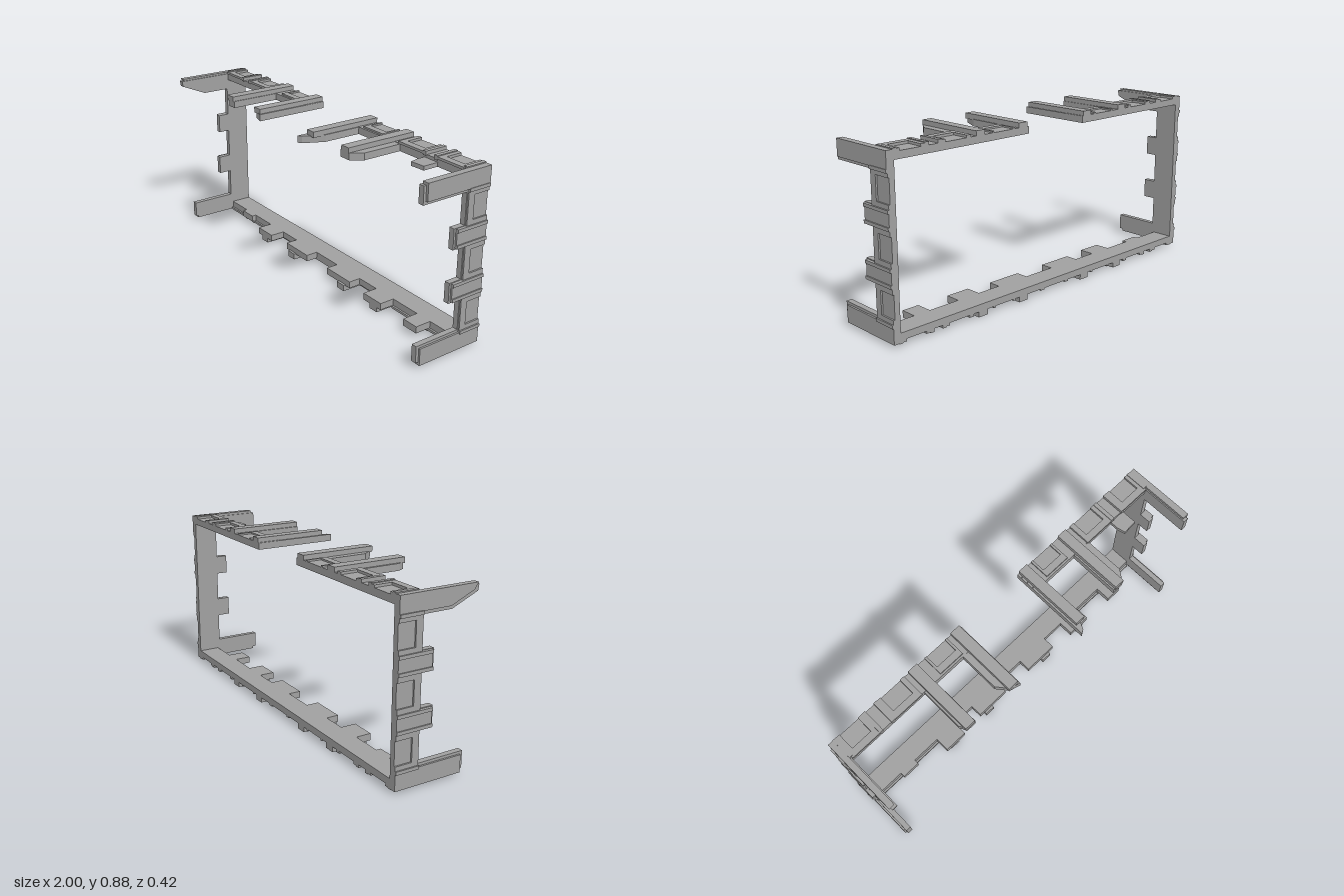
import * as THREE from 'three';

const BACK = -0.212;

export function createModel() {
  const root = new THREE.Group();
  const stone = new THREE.MeshStandardMaterial({ color: 0xa0a0a0 });
  stone.name = 'grey stone';

  // Each side of the frame: direction of its length, outward direction, inner face offset
  const sides = {
    bottom: { along: [1, 0, 0], out: [0, -1, 0], inner: -0.062, sign: 1 },
    top: { along: [-1, 0, 0], out: [0, 1, 0], inner: 0.825, sign: -1 },
    right: { along: [0, 1, 0], out: [1, 0, 0], inner: 0.957, sign: 1 },
    left: { along: [0, -1, 0], out: [-1, 0, 0], inner: 0.957, sign: -1 },
  };
  for (const [name, s] of Object.entries(sides)) {
    s.group = new THREE.Group();
    s.group.name = name + 'Side';
    s.group.matrix.makeBasis(new THREE.Vector3(...s.along), new THREE.Vector3(0, 0, 1), new THREE.Vector3(...s.out));
    s.group.matrix.decompose(s.group.position, s.group.quaternion, s.group.scale);
    root.add(s.group);
  }

  // Plate with an outline of (position along the side, z), from depth d0 to d1 outward
  function plate(side, name, pts, d0, d1) {
    const s = sides[side];
    const shape = new THREE.Shape(pts.map(([a, z]) => new THREE.Vector2(a * s.sign, z)));
    const geo = new THREE.ExtrudeGeometry(shape, { depth: d1 - d0, bevelEnabled: false });
    const mesh = new THREE.Mesh(geo, stone);
    mesh.position.z = s.inner + d0;
    mesh.name = name;
    s.group.add(mesh);
  }
  const rect = (a0, a1, z1, z0 = BACK) => [[a0, z0], [a1, z0], [a1, z1], [a0, z1]];

  // Raised border open at the back, leaving a sunken panel
  function border(side, a0, a1, z, w, d0, d1) {
    plate(side, 'panelBorder', [
      [a0, BACK], [a0 + w, BACK], [a0 + w, z - 0.035], [a1 - w, z - 0.035],
      [a1 - w, BACK], [a1, BACK], [a1, z], [a0, z],
    ], d0, d1);
  }

  // Slab whose front edge steps out at each bump [start, end, z]
  function steppedSlab(side, a0, a1, z, bumps, d) {
    const pts = [[a0, BACK], [a0, z]];
    for (const [b0, b1, bz] of bumps) pts.push([b0, z], [b0, bz], [b1, bz], [b1, z]);
    pts.push([a1, z], [a1, BACK]);
    plate(side, 'slab', pts, 0, d);
  }

  // Bottom side
  steppedSlab('bottom', -0.985, 0.985, -0.1, [
    [-0.8, -0.7, -0.075], [-0.54, -0.41, -0.02], [-0.28, -0.09, -0.035],
    [0.09, 0.28, -0.035], [0.41, 0.54, -0.02], [0.71, 0.8, -0.015],
  ], 0.035);
  border('bottom', -0.1, 0.1, -0.1, 0.025, 0.035, 0.043);

  // Borders and ridges shared by top and bottom, mirrored left and right
  for (const side of ['bottom', 'top']) {
    for (const m of [-1, 1]) {
      const span = (a, b) => (m > 0 ? [a, b] : [-b, -a]);
      border(side, ...span(0.79, 0.955), -0.09, 0.028, 0.035, 0.047);
      border(side, ...span(0.54, 0.71), -0.09, 0.026, 0.035, 0.047);
      border(side, ...span(0.275, 0.415), -0.105, 0.012, 0.035, 0.043);
      for (const a of [0.705, 0.775]) plate(side, 'ridge', rect(...span(a, a + 0.02), -0.09), 0.03, 0.051);
      if (side === 'bottom') {
        for (const a of [0.22, 0.482]) plate(side, 'rib', rect(...span(a - 0.028, a + 0.028), -0.022), 0.03, 0.062);
      }
    }
  }

  // Broken top: two runs with a gap in the middle
  plate('top', 'slab', rect(-0.985, -0.19, -0.095), 0, 0.035);
  plate('top', 'slab', rect(0.19, 0.985, -0.095), 0, 0.035);
  plate('top', 'brokenBump', [[0.71, -0.1], [0.795, -0.1], [0.795, -0.015], [0.72, -0.01], [0.71, -0.05]], 0, 0.02);

  // Top beams: a broken slab carrying a narrower rib
  const beams = [
    [[[-0.525, BACK], [-0.455, BACK], [-0.455, 0.165], [-0.505, 0.165], [-0.525, 0.13]], -0.515, -0.46, 0.168],
    [[[-0.283, BACK], [-0.187, BACK], [-0.187, 0.18], [-0.24, 0.165], [-0.283, 0.11]], -0.25, -0.195, 0.172],
    [[[0.185, BACK], [0.252, BACK], [0.252, 0.1], [0.205, 0.2], [0.185, 0.212]], 0.195, 0.247, 0.165],
    [[[0.45, BACK], [0.55, BACK], [0.55, 0.11], [0.51, 0.165], [0.45, 0.165]], 0.458, 0.51, 0.168],
  ];
  for (const [outline, a0, a1, z] of beams) {
    plate('top', 'beam', outline, 0, 0.034);
    plate('top', 'beamRib', rect(a0, a1, z), 0.03, 0.058);
  }

  // Upright sides
  for (const side of ['left', 'right']) {
    steppedSlab(side, 0.03, 0.86, -0.087, [[0.265, 0.365, -0.02], [0.52, 0.62, -0.027]], 0.028);
    for (const [a0, a1] of [[0.103, 0.272], [0.358, 0.528], [0.613, 0.782]]) {
      border(side, a0, a1, -0.092, 0.027, 0.028, 0.036);
    }
    // Ribs between the panels
    for (const [a0, a1, z] of [[0.28, 0.353, -0.03], [0.535, 0.61, -0.037]]) {
      plate(side, 'rib', rect(a0, a1, z), 0.02, 0.037);
      for (const a of [a0 - 0.008, a1 - 0.008]) plate(side, 'ridge', rect(a, a + 0.016, z), 0.02, 0.043);
    }
    // Bottom corner bar
    plate(side, 'cornerBar', rect(0.03, 0.113, 0.155), 0, 0.028);
    plate(side, 'cornerRib', rect(0.015, 0.1, 0.14), 0.006, 0.037);
  }

  // Top corner bars: blunt on the right, broken to a point on the left
  plate('right', 'cornerBar', rect(0.772, 0.857, 0.158), 0, 0.028);
  plate('right', 'cornerRib', rect(0.788, 0.87, 0.145), 0.006, 0.04);
  plate('left', 'cornerBar', [[0.772, BACK], [0.86, BACK], [0.86, 0.2], [0.83, 0.195], [0.772, 0.06]], 0, 0.028);
  plate('left', 'cornerRib', [[0.788, BACK], [0.87, BACK], [0.87, 0.19], [0.84, 0.17], [0.788, 0.05]], 0.006, 0.036);

  // Small studs at the outer corners
  for (const side of ['left', 'right']) {
    for (const a of [0.093, 0.775]) plate(side, 'cornerRidge', rect(a, a + 0.016, -0.092), 0.02, 0.043);
  }
  for (const side of ['top', 'bottom']) {
    for (const a of [-0.965, 0.945]) plate(side, 'cornerRidge', rect(a, a + 0.02, -0.1), 0.03, 0.05);
  }
  return root;
}
